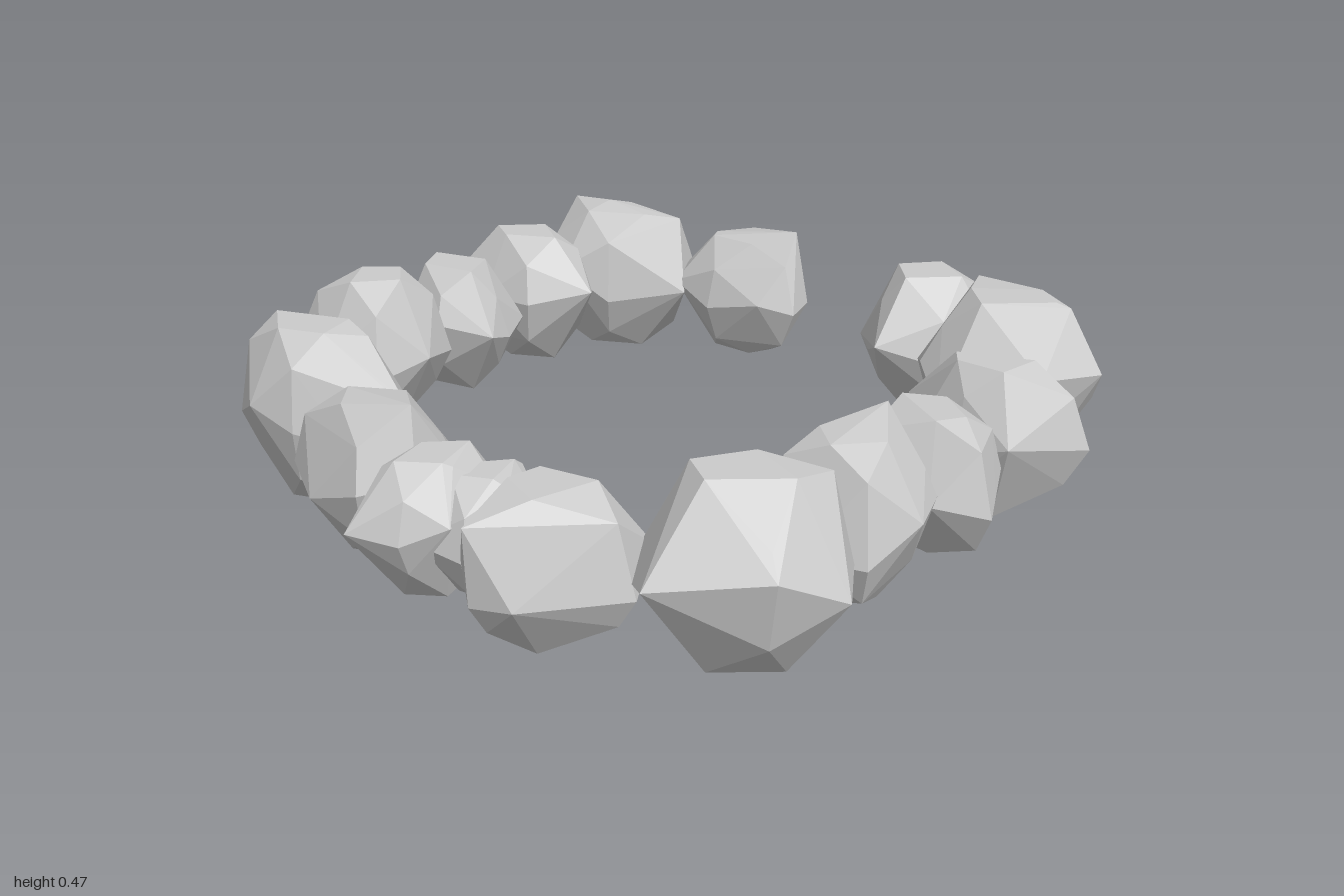
import * as THREE from 'three';
import { ConvexGeometry } from 'three/addons/geometries/ConvexGeometry.js';

// Small seeded generator
function seeded(seed) {
  let s = seed * 7919 + 17;
  return () => (s = (s * 16807) % 2147483647) / 2147483647;
}

// Height fraction, scale of the plan outline, and scatter of the corners for each ring
const RINGS = [[0, 0.42, 0], [0.2, 0.78, 0.08], [0.5, 1, 0.14], [0.8, 0.8, 0.08], [1, 0.46, 0]];

// Faceted boulder: rings of one plan outline, bulging at mid height, wrapped in a convex hull
function boulderGeometry(y0, y1, outline, peaks, seed) {
  const rnd = seeded(seed);
  for (let i = 0; i < 5; i++) rnd();
  const centre = new THREE.Vector2();
  for (const [x, z] of outline) centre.add(new THREE.Vector2(x, z).divideScalar(outline.length));
  const pts = [];
  RINGS.forEach(([level, scale, scatter], ring) => {
    outline.forEach(([x, z], i) => {
      // Thin the rings above and below the middle for broad facets
      if (ring !== 2 && (i + ring) % 2) return;
      const s = ring === 2 ? 1 : scale + (rnd() - 0.5) * scatter;
      const y = level + (rnd() - 0.5) * 2 * scatter;
      pts.push(new THREE.Vector3(
        centre.x + (x - centre.x) * s, y0 + (y1 - y0) * y, centre.y + (z - centre.y) * s));
    });
  });
  for (const p of peaks) pts.push(new THREE.Vector3(...p));
  return new ConvexGeometry(pts);
}

export function createModel() {
  const group = new THREE.Group();
  group.name = 'boulderRing';
  const material = new THREE.MeshStandardMaterial({ color: 0xcccccc, flatShading: true });
  let seed = 1;
  const rock = (name, y0, y1, outline, ...peaks) => {
    const mesh = new THREE.Mesh(boulderGeometry(y0, y1, outline, peaks, seed++), material);
    mesh.name = name;
    group.add(mesh);
  };

  // Back right end of the ring, beside the gap
  rock('endBoulderRight', 0.1, 0.42,
    [[-0.45, -0.7], [-0.4, -0.88], [-0.33, -0.91], [-0.22, -0.91], [-0.06, -0.77], [-0.04, -0.68], [-0.12, -0.62], [-0.27, -0.59], [-0.41, -0.62]],
    [-0.09, 0.46, -0.75]);
  rock('backBoulderRight', 0.07, 0.46,
    [[-0.85, -0.6], [-0.82, -0.72], [-0.62, -0.77], [-0.45, -0.74], [-0.37, -0.61], [-0.55, -0.49], [-0.68, -0.44], [-0.8, -0.48]],
    [-0.8, 0.46, -0.63], [-0.44, 0.45, -0.67], [-0.66, 0.475, -0.62], [-0.76, 0.26, -0.85], [-0.6, 0.22, -0.77], [-0.76, 0.1, -0.75]);
  rock('backStoneRight', 0.06, 0.34,
    [[-0.92, -0.58], [-0.9, -0.72], [-0.82, -0.78], [-0.72, -0.7], [-0.72, -0.56], [-0.83, -0.52]]);

  // Right side
  rock('sideBoulderRightBack', 0.05, 0.41,
    [[-0.98, -0.36], [-0.95, -0.54], [-0.78, -0.57], [-0.62, -0.5], [-0.53, -0.4], [-0.65, -0.27], [-0.8, -0.25], [-0.94, -0.27]]);
  rock('sideBoulderRightMiddle', 0.04, 0.38,
    [[-1, -0.18], [-0.9, -0.28], [-0.68, -0.28], [-0.6, -0.15], [-0.56, -0.05], [-0.7, 0.02], [-0.88, 0.02], [-0.93, -0.08]]);
  rock('sideBoulderRightFront', 0.03, 0.41,
    [[-0.95, 0.12], [-0.9, 0], [-0.78, -0.02], [-0.67, 0], [-0.6, 0.14], [-0.62, 0.3], [-0.77, 0.36], [-0.94, 0.28]]);

  // Front arc
  rock('frontCornerBoulderRight', 0.01, 0.44,
    [[-0.81, 0.55], [-0.73, 0.42], [-0.42, 0.39], [-0.24, 0.52], [-0.34, 0.62], [-0.45, 0.7], [-0.58, 0.72], [-0.73, 0.64]],
    [-0.4, 0.42, 0.5], [-0.7, 0.41, 0.5], [-0.66, 0.25, 0.31], [-0.5, 0.22, 0.38]);
  rock('frontBoulderRight', 0.04, 0.39,
    [[-0.35, 0.68], [-0.25, 0.55], [-0.1, 0.53], [0.01, 0.6], [0.04, 0.75], [-0.04, 0.85], [-0.2, 0.85], [-0.34, 0.78]],
    [0.0, 0.42, 0.72]);
  rock('frontSlabRight', 0.04, 0.35,
    [[-0.03, 0.72], [0, 0.58], [0.12, 0.56], [0.23, 0.66], [0.22, 0.82], [0.15, 0.9], [0.04, 0.95]],
    [0.04, 0.33, 0.84], [0.17, 0.34, 0.76]);
  rock('frontSlabLeft', 0.05, 0.32,
    [[0.08, 0.7], [0.1, 0.58], [0.21, 0.53], [0.3, 0.6], [0.3, 0.75], [0.26, 0.83], [0.12, 0.84]],
    [0.27, 0.3, 0.7], [0.2, 0.3, 0.59]);
  rock('frontBoulderLeft', 0.04, 0.38,
    [[0.28, 0.65], [0.4, 0.56], [0.57, 0.59], [0.64, 0.72], [0.5, 0.92], [0.41, 0.95], [0.26, 0.83]],
    [0.41, 0.35, 0.96], [0.33, 0.05, 0.8], [0.5, 0.06, 0.78]);
  rock('frontCornerBoulderLeft', 0.02, 0.44,
    [[0.53, 0.64], [0.58, 0.45], [0.68, 0.37], [0.89, 0.35], [0.99, 0.5], [0.92, 0.64], [0.71, 0.76]],
    [0.88, 0.43, 0.42], [0.71, 0.25, 0.79], [0.71, 0.01, 0.6], [0.63, 0.24, 0.31], [0.57, 0.25, 0.42]);

  // Left side
  rock('sideBoulderLeftFront', 0.03, 0.39,
    [[0.58, 0.2], [0.6, 0], [0.75, -0.03], [0.87, 0.02], [0.92, 0.15], [0.89, 0.3], [0.75, 0.35], [0.62, 0.3]],
    [0.74, 0.42, 0.03]);
  rock('sideBoulderLeftMiddle', 0.04, 0.36,
    [[0.53, -0.18], [0.57, -0.27], [0.72, -0.28], [0.86, -0.26], [0.93, -0.12], [0.97, -0.04], [0.85, 0.02], [0.64, 0]]);
  rock('sideBoulderLeftBack', 0.05, 0.41,
    [[0.55, -0.35], [0.7, -0.47], [0.91, -0.5], [1, -0.4], [0.88, -0.25], [0.75, -0.24], [0.62, -0.25]]);

  // Back left end of the ring
  rock('backBoulderLeft', 0.06, 0.48,
    [[0.43, -0.57], [0.5, -0.77], [0.73, -0.79], [0.83, -0.73], [0.89, -0.65], [0.8, -0.53], [0.61, -0.38], [0.5, -0.47]],
    [0.5, 0.47, -0.72], [0.8, 0.47, -0.64], [0.57, 0.28, -0.9], [0.58, 0.12, -0.8]);
  rock('endBoulderLeft', 0.08, 0.43,
    [[0.12, -0.77], [0.17, -0.9], [0.28, -0.97], [0.45, -0.94], [0.52, -0.8], [0.45, -0.67], [0.3, -0.57], [0.22, -0.66]],
    [0.22, 0.41, -0.82]);

  return group;
}
